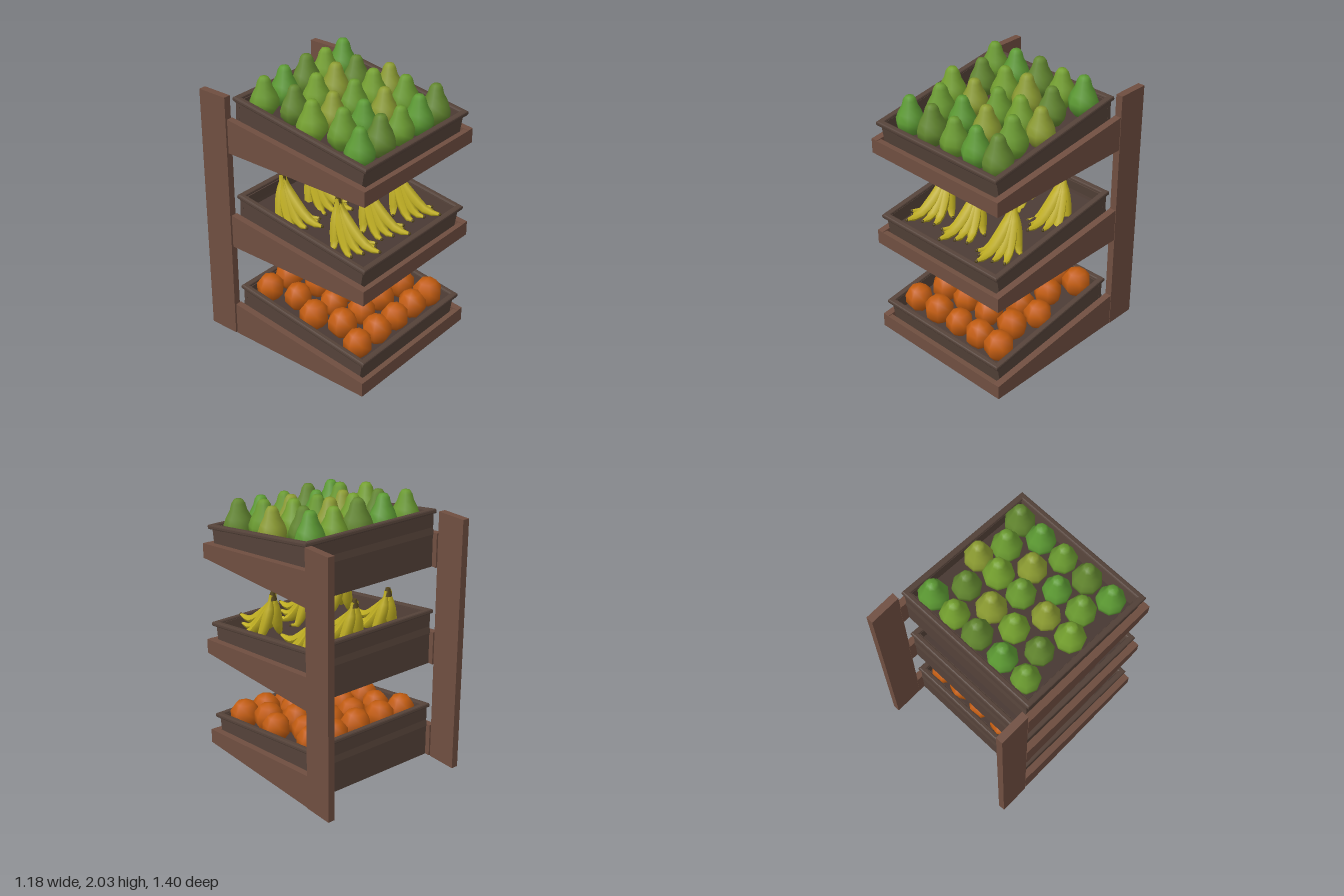
import * as THREE from 'three';

const mat = (color, extra = {}) => new THREE.MeshStandardMaterial({ color, ...extra });
const frameMat = mat(0x6f4e40, { flatShading: true });
const trayMat = mat(0x544239, { flatShading: true });
const floorMat = mat(0x4a3a34, { flatShading: true });
const orangeMat = mat(0xc25c10);
const bananaMat = mat(0xbfae22, { side: THREE.DoubleSide });
const stemMat = mat(0x54451c);
const pearMats = [0x6a9a30, 0x62862f, 0x8c9c32, 0x5c9a33, 0x74a02f].map((c) => mat(c));

const TILT = 0.155, RIM_Y = 0.31, MID_Z = 0.125;
const floorY = (z) => RIM_Y - 0.1 - Math.tan(TILT) * (z - MID_Z);

function add(parent, name, geometry, material, x = 0, y = 0, z = 0) {
  const mesh = new THREE.Mesh(geometry, material);
  mesh.name = name;
  mesh.position.set(x, y, z);
  parent.add(mesh);
  return mesh;
}
const box = (parent, name, material, w, h, d, x, y, z) =>
  add(parent, name, new THREE.BoxGeometry(w, h, d), material, x, y, z);

function rectPath(Type, a, b) {
  const p = new Type();
  p.moveTo(-a, -b);
  p.lineTo(a, -b);
  p.lineTo(a, b);
  p.lineTo(-a, b);
  p.closePath();
  return p;
}

// Wedge-shaped side bracket, drawn in (z, y) and extruded across x
function bracketGeometry(backZ) {
  const s = new THREE.Shape();
  s.moveTo(0.7, 0);
  s.lineTo(0.7, 0.107);
  s.lineTo(backZ, 0.248);
  s.lineTo(backZ, 0);
  s.closePath();
  return new THREE.ExtrudeGeometry(s, { depth: 0.05, bevelEnabled: false }).rotateY(-Math.PI / 2);
}

// Tilted tray with bevelled rim
function makeTray() {
  const tray = new THREE.Group();
  tray.name = 'tray';
  tray.position.set(0, RIM_Y, MID_Z);
  tray.rotation.x = TILT;
  const rim = rectPath(THREE.Shape, 0.545, 0.552);
  rim.holes.push(rectPath(THREE.Path, 0.522, 0.529));
  const rimGeo = new THREE.ExtrudeGeometry(rim, {
    depth: 0.014, bevelEnabled: true, bevelSegments: 2, bevelSize: 0.01, bevelThickness: 0.01,
  }).rotateX(-Math.PI / 2);
  add(tray, 'trayRim', rimGeo, trayMat, 0, -0.007, 0);
  for (const s of [-1, 1]) {
    box(tray, 'traySide', trayMat, 0.025, 0.16, 1.075, s * 0.522, -0.08, 0);
    box(tray, 'trayEnd', trayMat, 1.02, 0.16, 0.025, 0, -0.08, s * 0.525);
  }
  box(tray, 'trayFloor', floorMat, 1.03, 0.02, 1.04, 0, -0.11, 0);
  return tray;
}

// Staggered rows of round fruit
const ROWS = [
  [-0.29, [-0.4, -0.2, 0.02, 0.22, 0.41]],
  [-0.09, [-0.33, -0.11, 0.09, 0.31]],
  [0.12, [-0.4, -0.19, 0.03, 0.23, 0.41]],
  [0.31, [-0.32, -0.11, 0.11, 0.34]],
  [0.51, [-0.4, -0.19, 0.02, 0.22, 0.41]],
];
function placeFruit(tier, name, geometry, materials) {
  let i = 0;
  for (const [z, xs] of ROWS) {
    for (const x of xs) {
      const m = add(tier, name, geometry, materials[(i * 3 + (i >> 2)) % materials.length], x, floorY(z), z);
      m.rotation.y = i * 1.3;
      m.scale.setScalar(0.96 + ((i * 7) % 5) * 0.02);
      i++;
    }
  }
}

const pearGeo = new THREE.LatheGeometry([
  [0, 0], [0.06, 0.005], [0.1, 0.06], [0.103, 0.105], [0.085, 0.155],
  [0.058, 0.205], [0.046, 0.25], [0.03, 0.275], [0, 0.28],
].map(([r, y]) => new THREE.Vector2(r, y)), 8);
const orangeGeo = new THREE.SphereGeometry(0.107, 7, 5).translate(0, 0.105, 0);

// Banana: a tube along a drooping curve, tapered at both ends
const TAPER = [0.014, 0.016, 0.03, 0.038, 0.04, 0.038, 0.032, 0.022, 0.01];
function addBanana(bunch, angle, reach) {
  const sx = Math.sin(angle), cz = Math.cos(angle);
  const drop = 1 + 0.2 * Math.abs(sx);
  const points = [[0, 0], [0.1, -0.09], [0.38, -0.2], [0.72, -0.272], [1, -0.265]].map(([r, y]) =>
    new THREE.Vector3(sx * (0.015 + r * 0.14 * reach), y * drop, cz * r * 0.37 * reach));
  const curve = new THREE.CatmullRomCurve3(points);
  const segs = TAPER.length - 1, sides = 6;
  const geo = new THREE.TubeGeometry(curve, segs, 1, sides);
  const pos = geo.attributes.position, v = new THREE.Vector3();
  for (let i = 0; i < pos.count; i++) {
    const ring = Math.floor(i / (sides + 1));
    const c = curve.getPointAt(ring / segs);
    v.fromBufferAttribute(pos, i).sub(c).multiplyScalar(TAPER[ring]).add(c);
    pos.setXYZ(i, v.x, v.y, v.z);
  }
  geo.computeVertexNormals();
  add(bunch, 'banana', geo, bananaMat);
  add(bunch, 'bananaTip', new THREE.SphereGeometry(0.012, 6, 4), stemMat, ...points[4].toArray());
}

function addBunch(tier, x, y, z, turn) {
  const bunch = new THREE.Group();
  bunch.name = 'bananaBunch';
  bunch.position.set(x, y, z);
  bunch.rotation.y = turn;
  add(bunch, 'bunchStem', new THREE.CylinderGeometry(0.016, 0.03, 0.06, 6), stemMat, 0, -0.01, 0);
  for (let i = 0; i < 7; i++) addBanana(bunch, (i - 3) * 0.45, i % 2 ? 1 : 0.84);
  tier.add(bunch);
}

export function createModel() {
  const model = new THREE.Group();
  model.name = 'fruitStand';

  // Rear posts
  for (const s of [-1, 1]) box(model, 'post', frameMat, 0.052, 1.87, 0.23, s * 0.566, 0.935, -0.585);

  const tiers = [0, 0.735, 1.465].map((y, i) => {
    const tier = new THREE.Group();
    tier.name = ['lowerTier', 'middleTier', 'upperTier'][i];
    tier.position.y = y;
    add(tier, 'leftBracket', bracketGeometry(-0.475), frameMat, 0.588);
    add(tier, 'rightBracket', bracketGeometry(-0.46), frameMat, -0.537);
    box(tier, 'frontBoard', frameMat, 1.08, 0.105, 0.04, 0, 0.0525, 0.68);
    box(tier, 'backPanel', trayMat, 1.07, 0.38, 0.03, 0, 0.19, -0.408);
    box(tier, 'basePanel', floorMat, 1.08, 0.02, 1.07, 0, 0.02, 0.13);
    tier.add(makeTray());
    model.add(tier);
    return tier;
  });

  // Produce
  placeFruit(tiers[0], 'orange', orangeGeo, [orangeMat]);
  placeFruit(tiers[2], 'pear', pearGeo, pearMats);
  for (const [z, y] of [[0.27, 0.535], [-0.22, 0.545]]) {
    [-0.32, -0.02, 0.31].forEach((x, i) => addBunch(tiers[1], x, y - i * 0.008, z, (i - 1) * 0.06));
  }
  return model;
}
